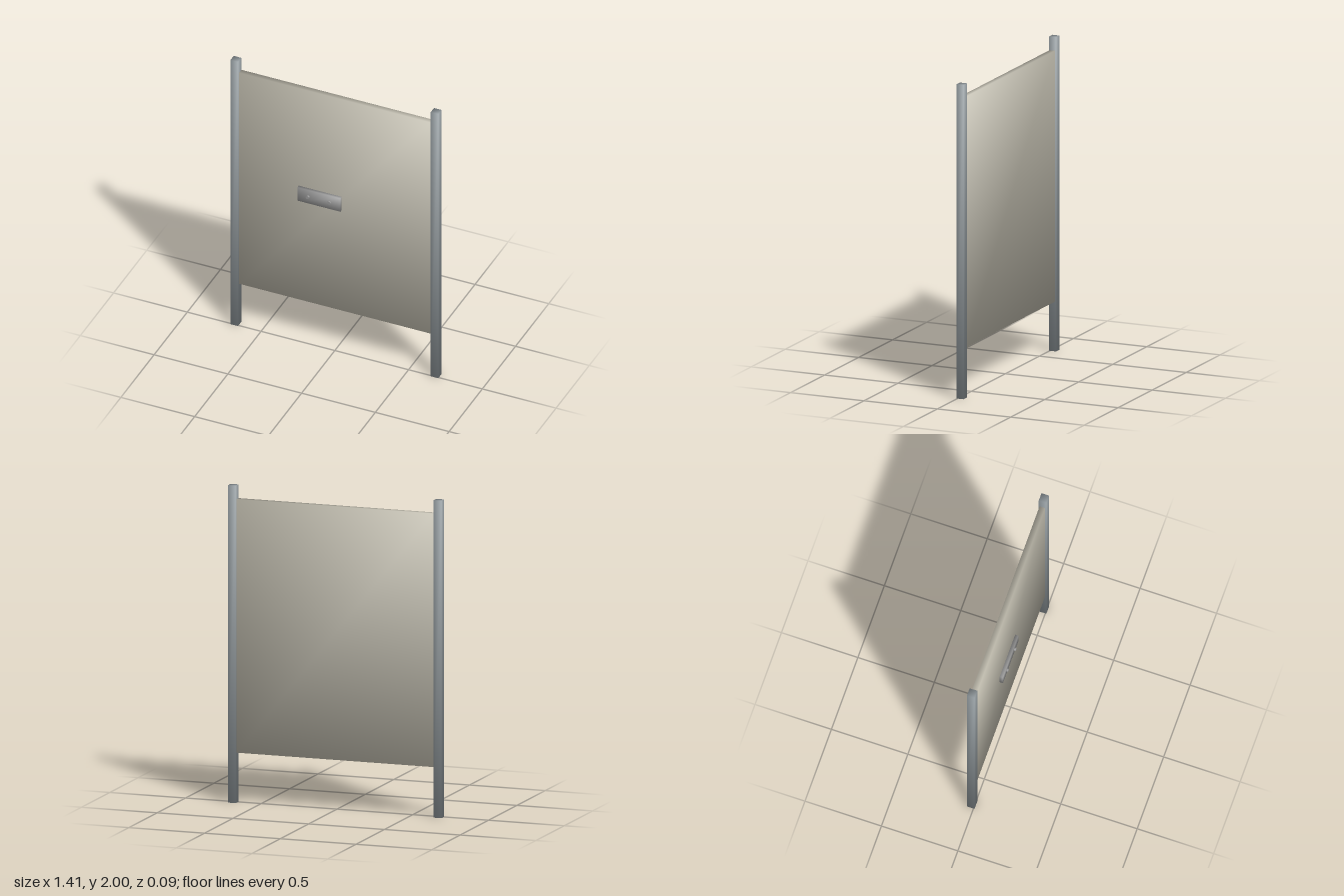
import * as THREE from 'three';

const postMat = new THREE.MeshStandardMaterial({ color: 0x8f979b });
const panelMat = new THREE.MeshStandardMaterial({ color: 0xbcb8aa });
const plateMat = new THREE.MeshStandardMaterial({ color: 0x999999 });

// Box between two corners, with corner normals averaged for soft shading
function softBox(name, material, min, max) {
  const size = max.map((v, i) => v - min[i]);
  const geometry = new THREE.BoxGeometry(...size);
  const p = geometry.attributes.position;
  const n = new THREE.Vector3();
  for (let i = 0; i < p.count; i++) {
    n.set(Math.sign(p.getX(i)), Math.sign(p.getY(i)), Math.sign(p.getZ(i))).normalize();
    geometry.attributes.normal.setXYZ(i, n.x, n.y, n.z);
  }
  const mesh = new THREE.Mesh(geometry, material);
  mesh.name = name;
  mesh.position.set(...min.map((v, i) => (v + max[i]) / 2));
  return mesh;
}

export function createModel() {
  const model = new THREE.Group();
  model.name = 'partitionScreen';

  // Square posts on both sides
  model.add(softBox('leftPost', postMat, [0.653, 0, -0.043], [0.705, 2, 0.007]));
  model.add(softBox('rightPost', postMat, [-0.705, 0, -0.043], [-0.653, 2, 0.007]));

  // Flat panel held between the posts
  model.add(softBox('panel', panelMat, [-0.649, 0.317, -0.036], [0.649, 1.915, 0]));

  // Small plate standing just off the panel
  const latch = new THREE.Group();
  latch.name = 'latch';
  latch.add(softBox('plate', plateMat, [-0.24, 1.087, 0.011], [0.052, 1.187, 0.032]));

  // Two round screw heads on the plate
  for (const x of [-0.167, -0.022]) {
    const screw = new THREE.Mesh(new THREE.CylinderGeometry(0.011, 0.011, 0.015, 16), plateMat);
    screw.name = 'screw';
    screw.rotation.x = Math.PI / 2;
    screw.position.set(x, 1.137, 0.0355);
    latch.add(screw);
  }
  model.add(latch);
  return model;
}
